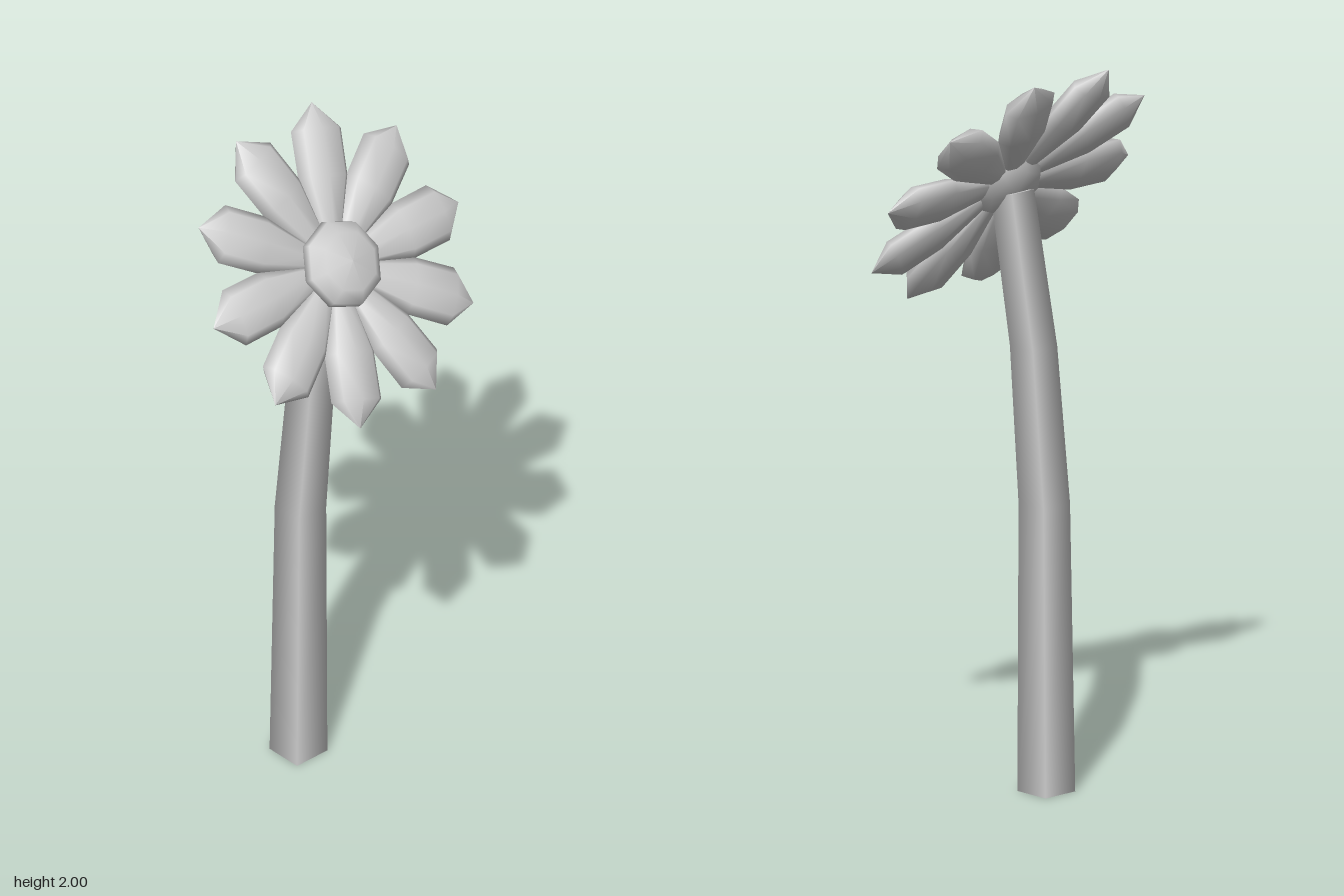
import * as THREE from 'three';

const material = new THREE.MeshStandardMaterial({ color: 0xcccccc });

// Solid of revolution from [radius, height] pairs, listed from bottom to top
function lathe(profile) {
  return new THREE.LatheGeometry(profile.map(([r, y]) => new THREE.Vector2(r, y)), 8);
}

function addMesh(parent, name, geometry) {
  const mesh = new THREE.Mesh(geometry, material);
  mesh.name = name;
  parent.add(mesh);
  return mesh;
}

// Four-sided stem whose rings follow a bend: [centre x, y, half width, tilt]
function stemGeometry() {
  const rings = [
    [-0.15, 0, 0.055, 0],
    [-0.142, 0.8, 0.049, 0],
    [-0.1, 1.23, 0.045, 0],
    [-0.018, 1.64, 0.041, -0.25],
  ];
  const last = rings.length - 1;
  const geometry = new THREE.CylinderGeometry(Math.SQRT2, Math.SQRT2, last, 4, last);
  geometry.rotateY(Math.PI / 4);
  const p = geometry.attributes.position;
  for (let i = 0; i < p.count; i++) {
    const [x, y, half, tilt] = rings[Math.round(p.getY(i) + last / 2)];
    const across = p.getX(i) * half;
    p.setXYZ(i, x + across, y + across * tilt, p.getZ(i) * half);
  }
  return geometry;
}

export function createModel() {
  const model = new THREE.Group();
  model.name = 'flower';
  addMesh(model, 'stem', stemGeometry());

  // Flower head tilted towards +x; its local y is the facing direction
  const head = new THREE.Group();
  head.name = 'flowerHead';
  head.position.set(0, 1.66, 0);
  head.rotation.z = -THREE.MathUtils.degToRad(54);
  model.add(head);

  // Flattened petal pointing along local x
  const petal = lathe([[0, 0.04], [0.035, 0.09], [0.08, 0.24], [0.081, 0.37], [0, 0.445]]);
  petal.scale(0.47, 1, 1).rotateZ(-Math.PI / 2);
  const petalCount = 10;
  for (let i = 0; i < petalCount; i++) {
    const mesh = addMesh(head, 'petal' + (i + 1), petal);
    mesh.rotation.y = Math.PI / 2 + (i / petalCount) * Math.PI * 2;
  }

  // Domed centre
  addMesh(head, 'flowerCentre', lathe([
    [0, -0.045], [0.085, -0.035], [0.125, 0.02], [0.12, 0.045], [0.085, 0.073], [0, 0.085],
  ]));

  return model;
}
